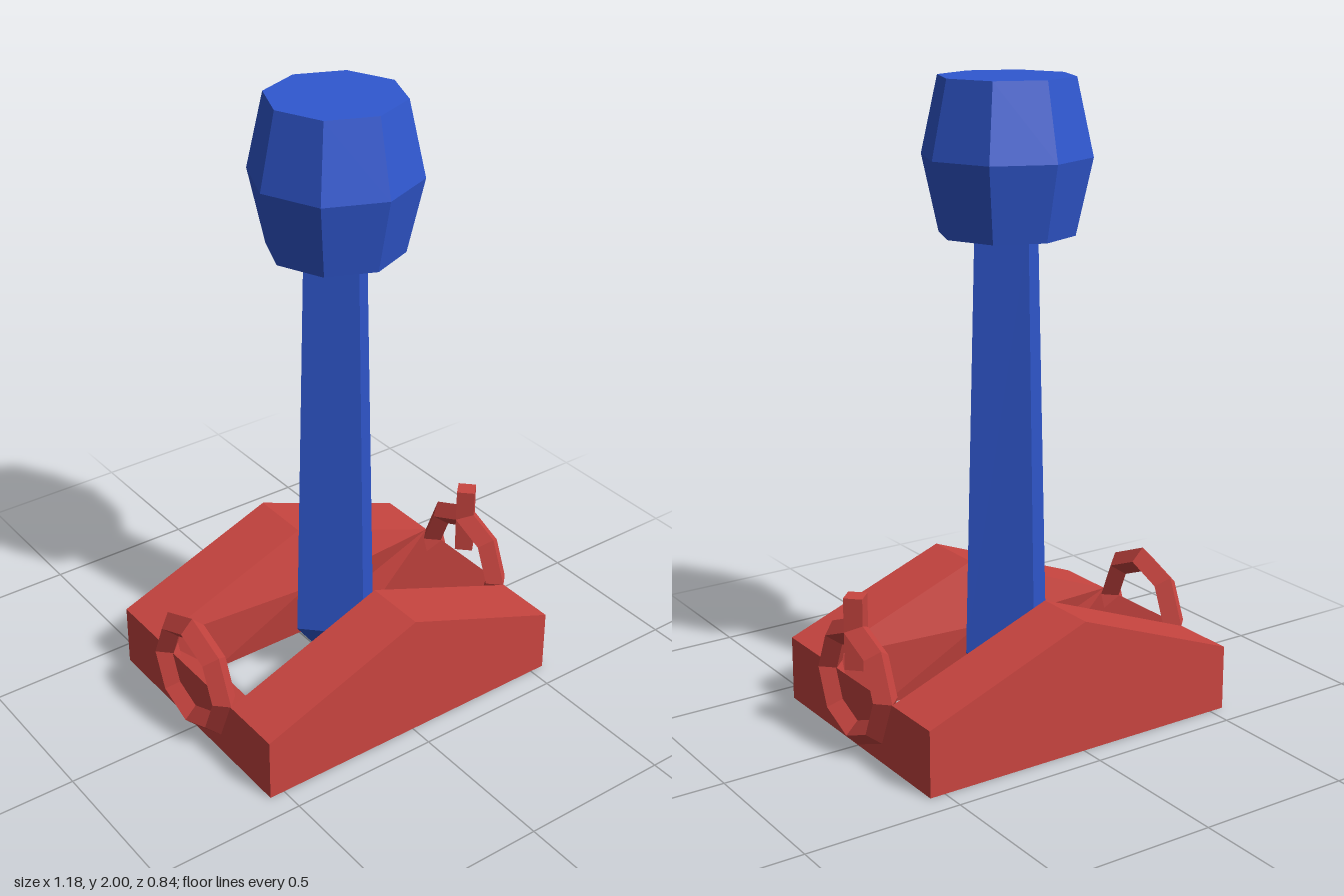
import * as THREE from 'three';

const red = new THREE.MeshStandardMaterial({ color: 0xc94540, flatShading: true });
const blue = new THREE.MeshStandardMaterial({ color: 0x3058d0, flatShading: true });

function add(parent, name, geometry, material, x = 0, y = 0, z = 0) {
  const mesh = new THREE.Mesh(geometry, material);
  mesh.name = name;
  mesh.position.set(x, y, z);
  parent.add(mesh);
  return mesh;
}

// Hollow gabled frame: one quarter (+x, +z) described by its faces, mirrored four ways
function frameGeometry() {
  const p = {
    A: [0.55, 0, 0.42], B: [0.55, 0.21, 0.42], C: [0, 0.42, 0.42], D: [0, 0, 0.42],
    E: [0.55, 0.21, 0.21], F: [0, 0.42, 0.21], G: [0, 0.21, 0.168],
    H: [0.34, 0, 0.21], I: [0, 0, 0.21], J: [0.55, 0.21, 0], K: [0.34, 0, 0], L: [0.55, 0, 0],
  };
  // outer side, end, roof, upper inner wall, lower inner wall, end slope, underside
  const faces = ['DABC', 'ALJEB', 'CBEF', 'FEG', 'GEHI', 'EJKH', 'DIHA', 'AHKL'];
  const out = [];
  for (const sx of [1, -1]) {
    for (const sz of [1, -1]) {
      for (const face of faces) {
        const v = [...face].map((k) => [p[k][0] * sx, p[k][1], p[k][2] * sz]);
        if (sx * sz < 0) v.reverse();
        for (let i = 1; i < v.length - 1; i++) out.push(...v[0], ...v[i], ...v[i + 1]);
      }
    }
  }
  const g = new THREE.BufferGeometry();
  g.setAttribute('position', new THREE.Float32BufferAttribute(out, 3));
  g.computeVertexNormals();
  return g;
}

export function createModel() {
  const model = new THREE.Group();
  model.name = 'lever';

  add(model, 'baseFrame', frameGeometry(), red);

  // Octagonal rings with a diamond section, one at each end
  const ring = new THREE.TorusGeometry(0.168, 0.042, 4, 8).rotateY(Math.PI / 2);
  add(model, 'leftRing', ring, red, 0.548, 0.21);
  add(model, 'rightRing', ring, red, -0.548, 0.21);

  // Short diamond post on the left ring
  add(model, 'ringPost', new THREE.CylinderGeometry(0.042, 0.042, 0.23, 4), red, 0.548, 0.373);

  // Tapered four-sided shaft, pointed at the bottom
  add(model, 'shaft', new THREE.CylinderGeometry(0.116, 0.154, 1.34, 4), blue, 0, 0.88);
  add(model, 'shaftTip', new THREE.CylinderGeometry(0.154, 0, 0.21, 4), blue, 0, 0.105);

  // Eight-sided knob, widest at its middle
  const profile = [[0, 1.53], [0.21, 1.53], [0.262, 1.765], [0.21, 2], [0, 2]];
  const knob = new THREE.LatheGeometry(profile.map(([r, y]) => new THREE.Vector2(r, y)), 8);
  add(model, 'knob', knob, blue);

  return model;
}
